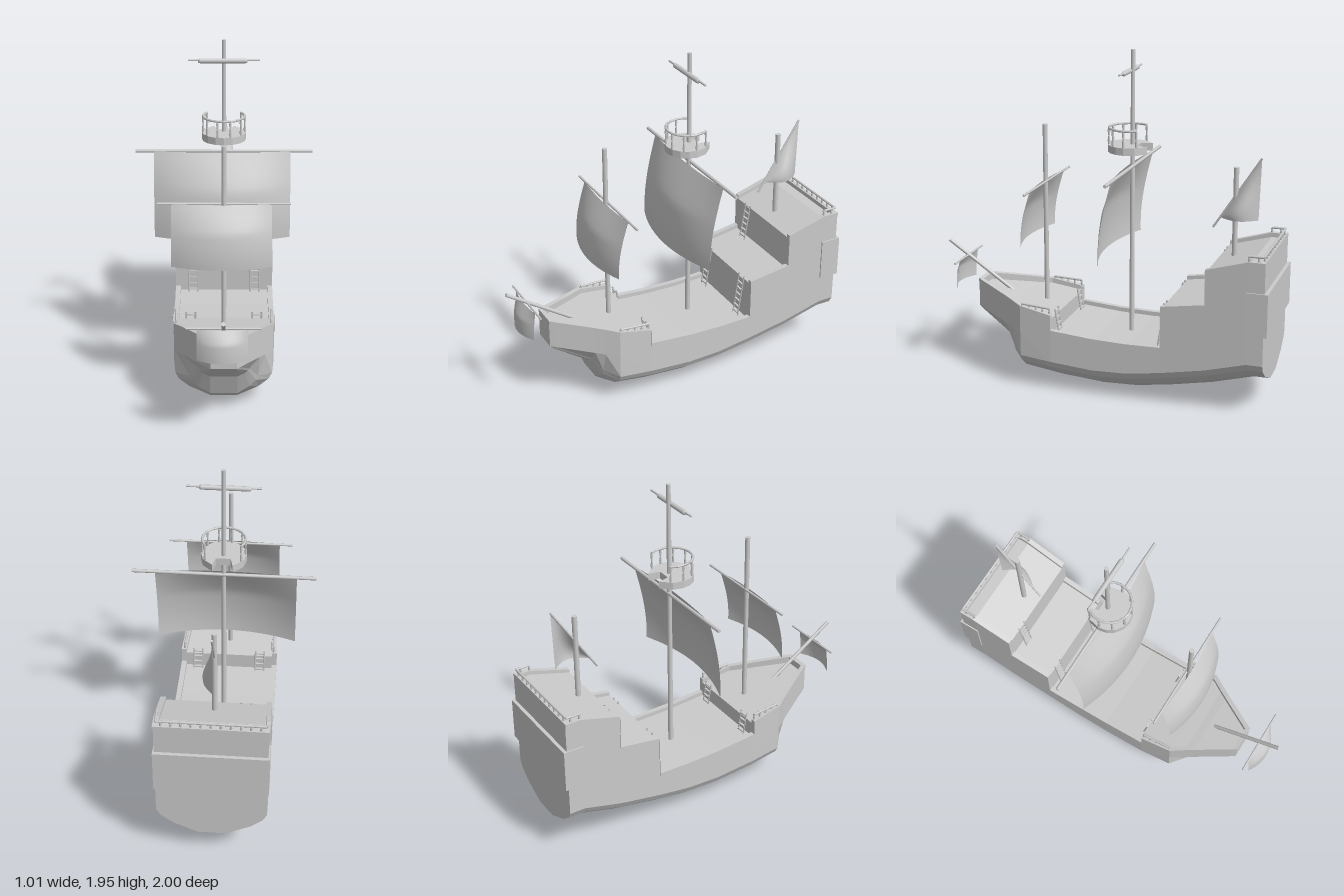
import * as THREE from 'three';

const grey = new THREE.MeshStandardMaterial({ color: 0xcccccc });
const flat = new THREE.MeshStandardMaterial({ color: 0xcccccc, flatShading: true });
const cloth = new THREE.MeshStandardMaterial({ color: 0xcccccc, side: THREE.DoubleSide });
const V = (x, y, z) => new THREE.Vector3(x, y, z);

function add(parent, name, geometry, material = grey) {
  const m = new THREE.Mesh(geometry, material);
  m.name = name;
  parent.add(m);
  return m;
}

// Round bar between two points
function bar(parent, name, a, b, r, sides = 10, rTop = r) {
  const d = b.clone().sub(a);
  const m = add(parent, name, new THREE.CylinderGeometry(rTop, r, d.length(), sides));
  m.position.copy(a).add(b).multiplyScalar(0.5);
  m.quaternion.setFromUnitVectors(V(0, 1, 0), d.normalize());
  return m;
}

function box(parent, name, w, h, d, x, y, z) {
  const m = add(parent, name, new THREE.BoxGeometry(w, h, d), flat);
  m.position.set(x, y, z);
  return m;
}

// Surface from a rule f(u, v) -> point, u and v in 0..1
function surface(f, nu = 16, nv = 16) {
  const g = new THREE.PlaneGeometry(1, 1, nu, nv), p = g.attributes.position;
  for (let i = 0; i < p.count; i++) {
    const q = f(p.getX(i) + 0.5, 0.5 - p.getY(i));
    p.setXYZ(i, q.x, q.y, q.z);
  }
  g.computeVertexNormals();
  return g;
}

// Half cross-section of the hull: keel, chines, side, gunwale, bulwark, deck
function halfSection([z, hw, keel, top, deck, rise = 0.155, w3 = hw, knuckle = 0]) {
  const kf = Math.min(0.075, w3), c3 = keel + rise;
  const pts = [[0, keel]];
  for (const [fx, fy] of [[0, 0], [0.6, 0.4], [0.9, 0.74], [1, 1]])
    pts.push([kf + (w3 - kf) * fx, keel + rise * fy]);
  pts.push([hw, knuckle || c3 + 0.01], [hw, top - 0.018], [hw + 0.005, top - 0.018], [hw + 0.005, top],
    [hw - 0.025, top], [hw - 0.025, deck], [0, deck]);
  return pts.map(([x, y]) => V(x, y, z));
}

function hullGeometry() {
  // z, half width, keel, rail, deck, bilge rise, bilge width, knuckle height
  const stations = [
    [-0.98, 0.30, 0.16, 0.9, 0.9], [-0.955, 0.30, 0.16, 0.9, 0.9],
    [-0.955, 0.30, 0.16, 0.9, 0.875], [-0.89, 0.30, 0.16, 0.9, 0.875],
    [-0.65, 0.295, 0.093, 0.83, 0.81], [-0.65, 0.295, 0.093, 0.63, 0.605],
    [-0.4, 0.29, 0.043, 0.59, 0.57], [-0.4, 0.29, 0.043, 0.35, 0.325],
    [-0.2, 0.288, 0.012, 0.345, 0.32], [0, 0.287, 0.004, 0.35, 0.325],
    [0.25, 0.285, 0.022, 0.37, 0.345], [0.25, 0.285, 0.022, 0.46, 0.435],
    [0.44, 0.272, 0.05, 0.495, 0.465, 0.14, 0.27, 0.33],
    [0.51, 0.228, 0.10, 0.51, 0.475, 0.11, 0.19, 0.34],
    [0.56, 0.198, 0.23, 0.52, 0.485, 0.05, 0.14, 0.35],
    [0.755, 0.085, 0.37, 0.555, 0.515, 0.01, 0.082, 0.387],
    [0.755, 0.085, 0.37, 0.555, 0.555, 0.01, 0.082, 0.387],
    [0.78, 0.07, 0.39, 0.56, 0.56, 0.003, 0.07, 0.395],
  ];
  const halves = stations.map(halfSection);
  const mir = p => V(-p.x, p.y, p.z);
  const rings = halves.map(h => [...h, ...h.slice(1, -1).reverse().map(mir)]);
  const out = [];
  const quad = (a, b, c, d) => [a, b, c, a, c, d].forEach(p => out.push(p.x, p.y, p.z));
  for (let i = 0; i + 1 < rings.length; i++) {
    const A = rings[i], B = rings[i + 1], n = A.length;
    for (let j = 0; j < n; j++) quad(A[j], A[(j + 1) % n], B[(j + 1) % n], B[j]);
  }
  // Transom and stem faces
  const stern = halves[0], bow = halves[halves.length - 1];
  for (let j = 0; j + 1 < bow.length; j++) {
    quad(mir(bow[j]), bow[j], bow[j + 1], mir(bow[j + 1]));
    quad(stern[j], mir(stern[j]), mir(stern[j + 1]), stern[j + 1]);
  }
  const g = new THREE.BufferGeometry();
  g.setAttribute('position', new THREE.Float32BufferAttribute(out, 3));
  g.computeVertexNormals();
  return g;
}

// Square sail hanging from a yard, belly blown forward
function squareSail(parent, name, x0, x1, yTop, yBottom, z, lean, belly) {
  add(parent, name, surface((u, v) => {
    const s = 2 * u - 1, swell = Math.sin(v * Math.PI * 0.55);
    return V(x0 + (x1 - x0) * u, yTop + (yBottom - yTop) * v,
      z + lean * swell + belly * (1 - s * s) * (0.3 + 0.7 * Math.min(1, swell * 1.5)));
  }), cloth);
}

function ladder(parent, x, y0, z0, y1, z1) {
  const g = new THREE.Group();
  g.name = 'ladder';
  for (const s of [-1, 1]) bar(g, 'ladderRail', V(x + s * 0.026, y0, z0), V(x + s * 0.026, y1, z1), 0.005, 4);
  const n = Math.round((y1 - y0) / 0.035);
  for (let i = 1; i <= n; i++) {
    const t = (i - 0.5) / n;
    box(g, 'ladderRung', 0.05, 0.007, 0.012, x, y0 + (y1 - y0) * t, z0 + (z1 - z0) * t);
  }
  parent.add(g);
}

// Handrail through points with balusters dropping to a base
function railing(parent, points, height, posts, r = 0.007) {
  const path = new THREE.CurvePath();
  for (let i = 0; i + 1 < points.length; i++) path.add(new THREE.LineCurve3(points[i], points[i + 1]));
  for (let i = 0; i + 1 < points.length; i++) bar(parent, 'handrail', points[i], points[i + 1], r, 6);
  for (let i = 0; i < posts; i++) {
    const p = path.getPointAt(i / (posts - 1));
    const profile = [[0.005, 0], [0.008, 0.2], [0.004, 0.5], [0.008, 0.8], [0.005, 1]]
      .map(([a, b]) => new THREE.Vector2(a, b * height));
    add(parent, 'baluster', new THREE.LatheGeometry(profile, 6)).position.set(p.x, p.y - height, p.z);
  }
}

function crowsNest() {
  const g = new THREE.Group();
  g.name = 'crowsNest';
  // Platform, open at the back around the mast (shape y = forward)
  const s = new THREE.Shape();
  s.moveTo(0.125, 0);
  for (let i = 1; i <= 8; i++) s.lineTo(0.125 * Math.cos(i * Math.PI / 8), 0.125 * Math.sin(i * Math.PI / 8));
  for (const [x, y] of [[-0.11, -0.06], [-0.055, -0.115], [-0.04, -0.05], [0.04, -0.05], [0.055, -0.115], [0.11, -0.06]])
    s.lineTo(x, y);
  const geo = new THREE.ExtrudeGeometry(s, { depth: 0.042, bevelEnabled: false });
  geo.rotateX(Math.PI / 2);
  add(g, 'nestPlatform', geo, flat).position.y = 1.422;
  const pts = [];
  for (let i = 0; i <= 14; i++) {
    const a = -0.6 + (Math.PI + 1.2) * i / 14;
    pts.push(V(0.118 * Math.cos(a), 1.515, 0.118 * Math.sin(a)));
  }
  railing(g, pts, 0.095, 8);
  g.position.z = -0.13;
  return g;
}

export function createModel() {
  const ship = new THREE.Group();
  ship.name = 'sailingShip';
  add(ship, 'hull', hullGeometry(), flat);
  box(ship, 'sternGallery', 0.615, 0.245, 0.12, 0, 0.605, -0.94);

  // Masts and bowsprit
  bar(ship, 'foreMast', V(0, 0.43, 0.378), V(0, 1.5, 0.378), 0.014);
  bar(ship, 'mainMast', V(0, 0.3, -0.145), V(0, 1.95, -0.145), 0.015, 10, 0.012);
  bar(ship, 'mizzenMast', V(0, 0.8, -0.74), V(0, 1.335, -0.74), 0.015);
  bar(ship, 'bowsprit', V(0, 0.475, 0.58), V(0, 0.755, 0.995), 0.011);

  // Yards: half length, height, z, radius
  for (const [name, h, y, z, r] of [['mainYard', 0.505, 1.3, -0.153, 0.01], ['foreYard', 0.36, 1.17, 0.368, 0.007],
    ['topYard', 0.2, 1.837, -0.13, 0.006], ['bowYard', 0.195, 0.673, 0.877, 0.006]])
    bar(ship, name, V(-h, y, z), V(h, y, z), r, 8);
  const furled = add(ship, 'furledSail', new THREE.CapsuleGeometry(0.014, 0.25, 3, 8));
  furled.rotation.z = Math.PI / 2;
  furled.position.set(-0.007, 1.833, -0.13);

  // Sails
  squareSail(ship, 'mainSail', -0.4, 0.38, 1.3, 0.805, -0.145, 0.075, 0.078);
  squareSail(ship, 'foreSail', -0.285, 0.26, 1.17, 0.83, 0.372, 0.062, 0.055);
  squareSail(ship, 'bowSail', -0.14, 0.125, 0.67, 0.5, 0.88, 0.015, 0.045);

  // Slanted mizzen spar and its sail
  const low = V(0, 0.985, -0.615), high = V(0, 1.395, -0.88);
  bar(ship, 'mizzenSpar', low, high, 0.006, 8);
  add(ship, 'mizzenSail', surface((u, v) => {
    const top = low.clone().lerp(high, 0.15 + 0.85 * u);
    return V(0.06 * Math.sin(Math.PI * u) * Math.sin(v * Math.PI * 0.6),
      top.y + (1.045 - top.y) * v, top.z + 0.01 * u * v);
  }), cloth);

  ship.add(crowsNest());

  // Railings at stern and forecastle, ladders between decks
  railing(ship, [V(-0.288, 0.928, -0.89), V(-0.288, 0.928, -0.968), V(0.288, 0.928, -0.968), V(0.288, 0.928, -0.89)], 0.03, 15);
  for (const s of [-1, 1]) {
    railing(ship, [V(s * 0.27, 0.494, 0.26), V(s * 0.262, 0.503, 0.43)], 0.03, 5);
    ladder(ship, s * 0.187, 0.325, -0.365, 0.585, -0.403);
    ladder(ship, s * 0.187, 0.335, 0.225, 0.475, 0.247);
  }
  ladder(ship, -0.163, 0.6, -0.618, 0.82, -0.655);
  return ship;
}
